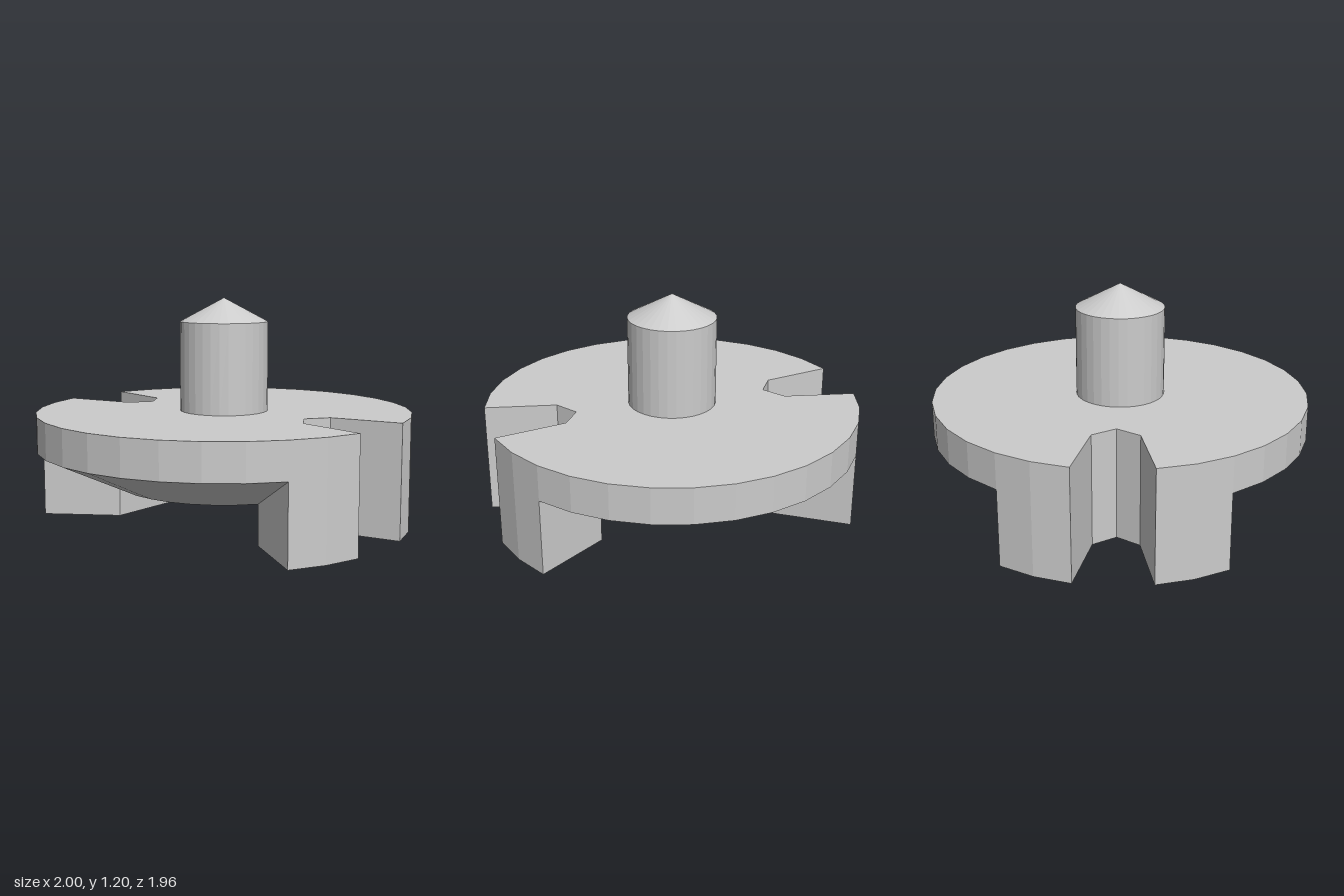
import * as THREE from 'three';

const STEP = Math.PI / 16; // 32-sided disc
const INNER = 0.577;       // radius of the underside flat
const DISC_Y = 0.41, TOP_Y = 0.6, FLAT_Y = 0.21;

// Points on a circle, from step a to step b (angle 0 = +x)
function arc(radius, a, b) {
  const points = [];
  for (let i = a; i <= b; i++) {
    points.push(new THREE.Vector2(radius * Math.cos(i * STEP), radius * Math.sin(i * STEP)));
  }
  return points;
}

// V-bottomed rim notch, between the ends of two neighbouring arcs
function notch(sign) {
  return [[0.12, 0.605], [0, 0.525], [-0.12, 0.605]].map(([x, y]) => new THREE.Vector2(x * sign, y * sign));
}

// Extrude a plan outline upward from y0 to y1
function slab(points, y0, y1) {
  const geometry = new THREE.ExtrudeGeometry(new THREE.Shape(points), { depth: y1 - y0, bevelEnabled: false });
  return geometry.rotateX(-Math.PI / 2).translate(0, y0, 0);
}

export function createModel() {
  const group = new THREE.Group();
  const material = new THREE.MeshStandardMaterial({ color: 0xcccccc, flatShading: true });
  const add = (name, geometry) => {
    const mesh = new THREE.Mesh(geometry, material);
    mesh.name = name;
    group.add(mesh);
    return mesh;
  };

  // Notched disc
  const outline = [...arc(1, -7, 7), ...notch(1), ...arc(1, 9, 23), ...notch(-1)];
  add('disc', slab(outline, DISC_Y, TOP_Y));

  // Two notched drive lugs with radial sides
  const lug = [...arc(1, 5, 7), ...notch(1), ...arc(1, 9, 11), ...arc(INNER, 11, 11), ...arc(INNER, 5, 5)];
  const lugGeometry = slab(lug, 0, DISC_Y);
  add('backLug', lugGeometry);
  add('frontLug', lugGeometry).rotation.y = Math.PI;

  // Conical underside between the lugs
  const profile = [new THREE.Vector2(INNER, FLAT_Y), new THREE.Vector2(1, DISC_Y)];
  const flank = new THREE.LatheGeometry(profile, 10, 3 * STEP, 10 * STEP);
  add('leftUnderside', flank);
  add('rightUnderside', flank).rotation.y = Math.PI;

  // Flat centre of the underside, facing down
  const flat = new THREE.ShapeGeometry(new THREE.Shape([...arc(INNER, -5, 5), ...arc(INNER, 11, 21)]));
  add('undersideFlat', flat.rotateX(Math.PI / 2).translate(0, FLAT_Y, 0));

  // Centre pin with a pointed tip
  add('pin', new THREE.CylinderGeometry(0.235, 0.235, 0.475, 32, 1, true).translate(0, 0.8375, 0));
  add('pinTip', new THREE.ConeGeometry(0.235, 0.125, 32, 1, true).translate(0, 1.1375, 0));

  return group;
}
